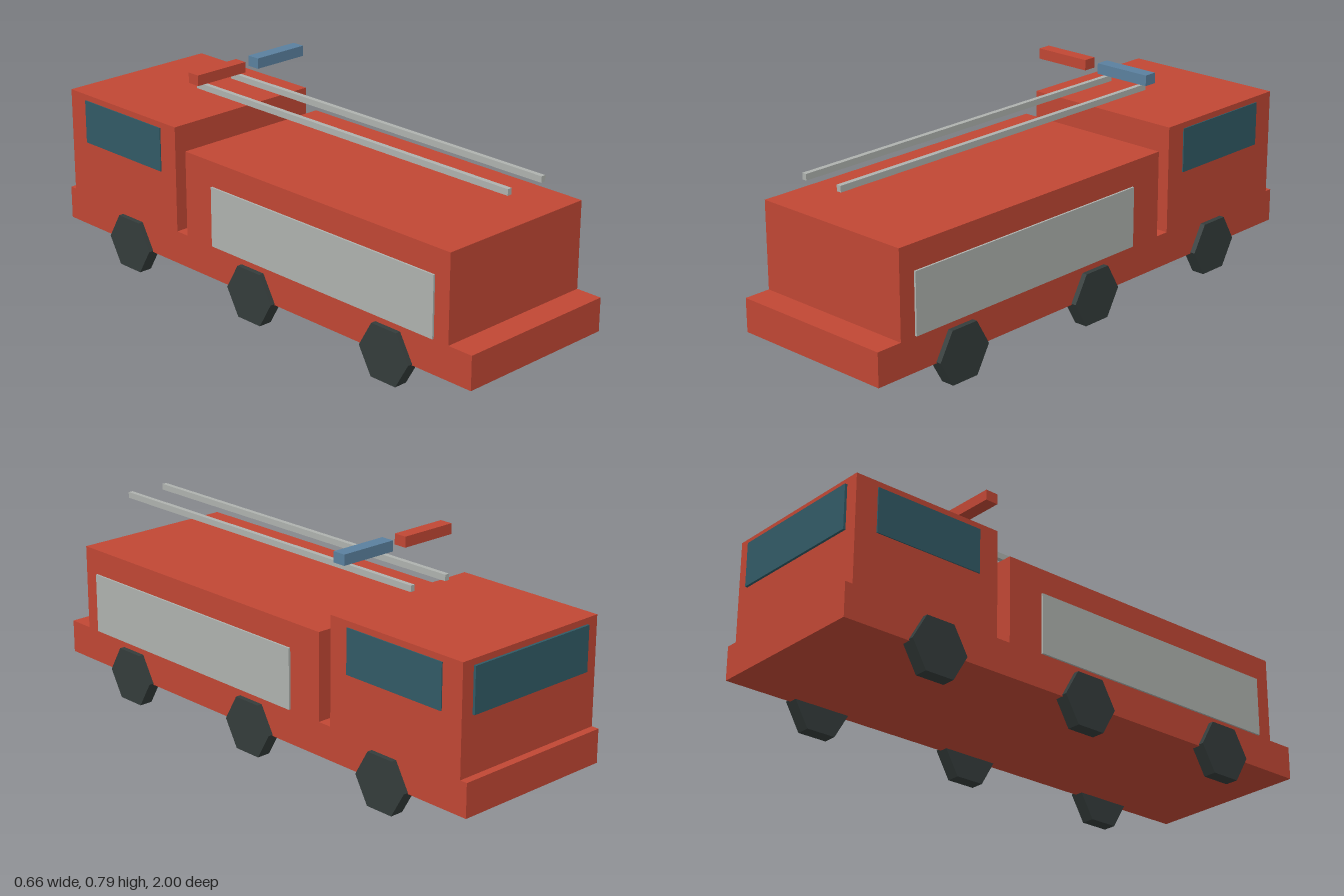
import * as THREE from 'three';

const paint = (name, color) => {
  const m = new THREE.MeshStandardMaterial({ color });
  m.name = name;
  return m;
};

export function createModel() {
  const red = paint('red paint', 0xc04734);
  const glass = paint('dark teal glass', 0x315a65);
  const metal = paint('grey metal', 0xaeb2ae);
  const rubber = paint('black rubber', 0x343c3b);
  const blue = paint('blue lamp', 0x5a809e);

  const truck = new THREE.Group();
  truck.name = 'fireTruck';

  // Box given by its minimum and maximum corners
  const box = (name, material, [x0, y0, z0], [x1, y1, z1]) => {
    const mesh = new THREE.Mesh(new THREE.BoxGeometry(x1 - x0, y1 - y0, z1 - z0), material);
    mesh.position.set((x0 + x1) / 2, (y0 + y1) / 2, (z0 + z1) / 2);
    mesh.name = name;
    truck.add(mesh);
  };

  // Chassis, equipment body and cab (the cab sits at -z)
  const w = 0.313;
  box('chassis', red, [-w, 0.091, -1], [w, 0.212, 1]);
  box('body', red, [-w, 0.212, -0.338], [w, 0.526, 0.902]);
  box('cab', red, [-w, 0.212, -0.972], [w, 0.6, -0.392]);
  box('windshield', glass, [-0.265, 0.417, -0.981], [0.265, 0.578, -0.972]);

  const wheelGeometry = new THREE.CylinderGeometry(0.11, 0.11, 0.05, 6).toNonIndexed();
  wheelGeometry.rotateZ(Math.PI / 2);
  wheelGeometry.computeVertexNormals();

  for (const side of [-1, 1]) {
    const label = side > 0 ? 'left' : 'right';
    // Plate standing proud of the side wall
    const plate = (name, material, depth, y0, y1, z0, z1) => {
      const a = side * w, b = side * (w + depth);
      box(name, material, [Math.min(a, b), y0, z0], [Math.max(a, b), y1, z1]);
    };
    plate(label + 'CabWindow', glass, 0.004, 0.417, 0.578, -0.888, -0.47);
    plate(label + 'LockerPanel', metal, 0.007, 0.215, 0.434, -0.2, 0.84);

    // Ladder rail
    const x = side * 0.08;
    box(label + 'LadderRail', metal, [x - 0.009, 0.658, -0.53], [x + 0.009, 0.68, 0.93]);

    // Six-sided wheels
    for (const z of [-0.64, 0, 0.64]) {
      const wheel = new THREE.Mesh(wheelGeometry, rubber);
      wheel.name = label + 'Wheel';
      wheel.position.set(side * 0.307, 0.0955, z);
      truck.add(wheel);
    }
  }

  // Beacon bars above the cab
  box('redBeacon', red, [-0.248, 0.748, -0.387], [-0.029, 0.786, -0.338]);
  box('blueBeacon', blue, [0.029, 0.748, -0.387], [0.248, 0.786, -0.338]);

  return truck;
}
